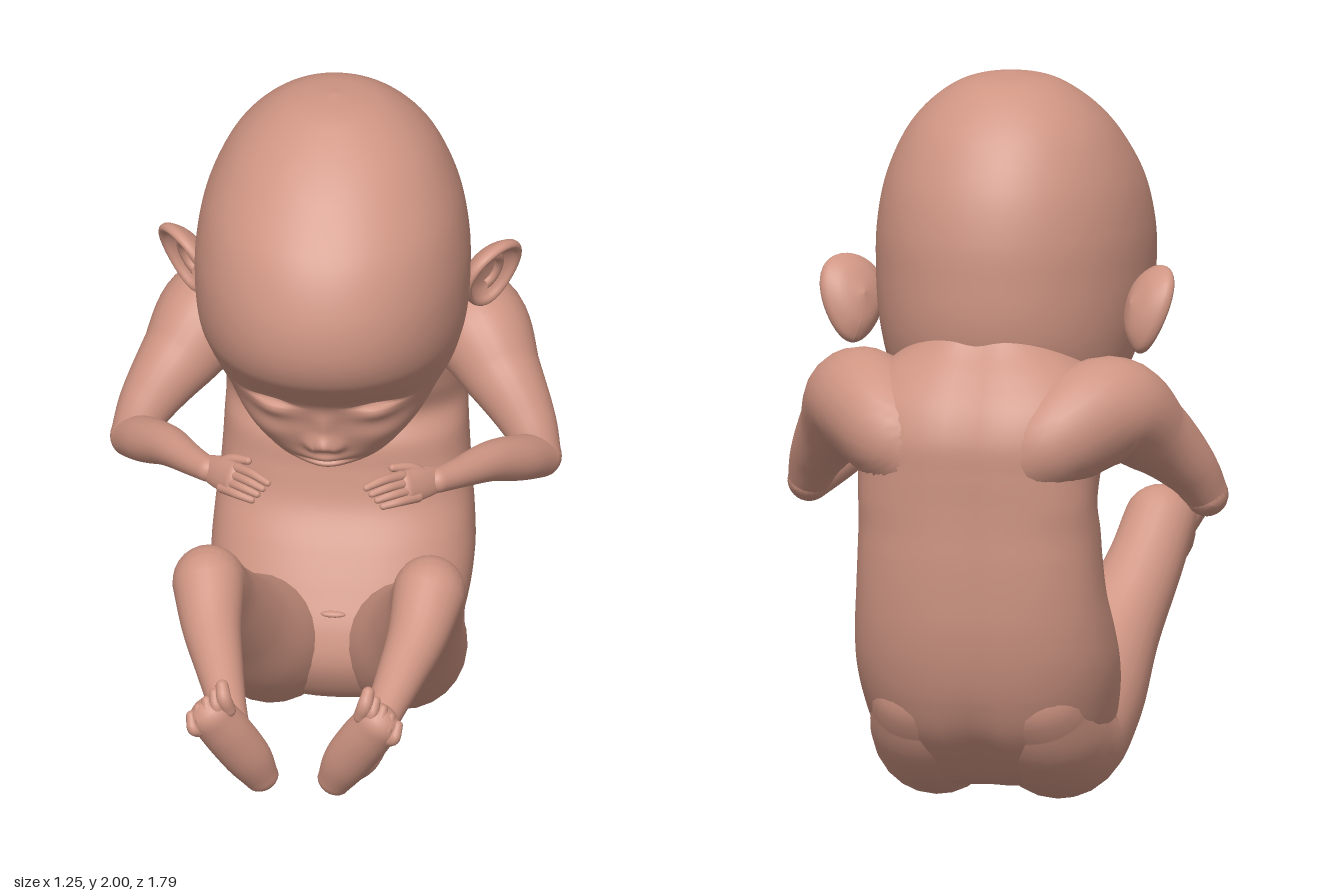
import * as THREE from 'three';

const skin = new THREE.MeshStandardMaterial({ color: 0xcf9583 });
skin.name = 'warm skin';

// Closed smooth surface through rings of equal point count
function skinRings(name, rings) {
  const n = rings[0].length, index = [];
  for (let i = 0; i < rings.length - 1; i++) {
    for (let j = 0; j < n; j++) {
      const a = i * n + j, b = i * n + (j + 1) % n;
      index.push(a, b, a + n, b, b + n, a + n);
    }
  }
  const geo = new THREE.BufferGeometry().setFromPoints(rings.flat());
  geo.setIndex(index);
  geo.computeVertexNormals();
  const mesh = new THREE.Mesh(geo, skin);
  mesh.name = name;
  return mesh;
}

const spline = pts => new THREE.CatmullRomCurve3(pts, false, 'catmullrom', 0.5);
const V = (x, y, z) => new THREE.Vector3(x, y, z);

// Round-ended limb through [x, y, z, radius]; axis is its width direction
function limb(name, side, pts, { axis = [1, 0, 0], flat = 1, steps = 8, n = 24 } = {}) {
  const path = spline(pts.map(p => V(p[0] * side, p[1], p[2])));
  const radius = spline(pts.map(p => V(p[3], 0, 0)));
  const wide = V(axis[0] * side, axis[1], axis[2]);
  const rings = [];
  const ring = (t, shift, scale) => {
    const r = radius.getPoint(t).x, T = path.getTangent(t);
    const A = wide.clone().addScaledVector(T, -wide.dot(T)).normalize();
    const B = T.clone().cross(A);
    const c = path.getPoint(t).addScaledVector(T, shift * r * flat);
    rings.push(Array.from({ length: n }, (_, j) => {
      const a = j / n * Math.PI * 2;
      return c.clone().addScaledVector(A, r * scale * Math.cos(a))
        .addScaledVector(B, r * scale * flat * Math.sin(a));
    }));
  };
  const cap = 6, count = (pts.length - 1) * steps;
  for (let k = 0; k < cap; k++) {
    const a = k / cap * Math.PI / 2;
    ring(0, -Math.cos(a), Math.max(Math.sin(a), 0.01));
  }
  for (let i = 0; i <= count; i++) ring(i / count, 0, 1);
  for (let k = cap - 1; k >= 0; k--) {
    const a = k / cap * Math.PI / 2;
    ring(1, Math.cos(a), Math.max(Math.sin(a), 0.01));
  }
  return skinRings(name, rings);
}

// Stack of horizontal sections [y, back z, front z, half width], bottom to top
function stack(name, sections, { power = 2, steps = 8, n = 64, tweak }) {
  const depth = spline(sections.map(s => V(s[1], s[0], s[2])));
  const width = spline(sections.map(s => V(s[3], 0, 0)));
  const count = (sections.length - 1) * steps, rings = [];
  const round = v => Math.sign(v) * Math.abs(v) ** (2 / power);
  for (let i = 0; i <= count; i++) {
    const d = depth.getPoint(i / count), w = width.getPoint(i / count).x;
    rings.push(Array.from({ length: n }, (_, j) => {
      const a = j / n * Math.PI * 2, s = Math.sin(a);
      const p = V(w * round(Math.cos(a)), d.y, (d.x + d.z) / 2 - (d.z - d.x) / 2 * round(s));
      tweak(p, s);
      return p;
    }));
  }
  return skinRings(name, rings);
}

const bell = (d, s) => Math.exp(-((d / s) ** 2));

// Facial relief: [x, y, height, spread x, spread y], mirrored when x > 0
const face = [
  [0, 1.06, 0.042, 0.032, 0.028], [0, 1.12, 0.02, 0.028, 0.05], [0.035, 1.045, 0.022, 0.018, 0.02],
  [0.13, 1.205, -0.014, 0.07, 0.035], [0.15, 1.16, 0.02, 0.055, 0.03], [0.15, 1.188, -0.022, 0.055, 0.007],
  [0.17, 1.07, 0.018, 0.07, 0.05], [0, 0.998, 0.022, 0.06, 0.018], [0, 0.973, -0.018, 0.08, 0.007],
  [0, 0.95, 0.018, 0.06, 0.016], [0, 0.92, 0.01, 0.05, 0.02],
];

function makeHead() {
  return stack('head', [
    [0.89, -0.29, -0.29, 0], [0.905, -0.4, -0.19, 0.09], [0.95, -0.48, -0.09, 0.16],
    [1.0, -0.55, -0.045, 0.21], [1.07, -0.6, -0.018, 0.262], [1.14, -0.65, 0.0, 0.3],
    [1.2, -0.69, 0.03, 0.332], [1.27, -0.72, 0.1, 0.353], [1.35, -0.735, 0.172, 0.37],
    [1.45, -0.738, 0.204, 0.378], [1.57, -0.732, 0.192, 0.376], [1.7, -0.7, 0.132, 0.352],
    [1.82, -0.64, 0.022, 0.3], [1.9, -0.575, -0.072, 0.24], [1.96, -0.5, -0.165, 0.165],
    [1.988, -0.43, -0.23, 0.095], [2.0, -0.325, -0.325, 0],
  ], {
    steps: 10, n: 112, power: 2.08,
    tweak(p, s) {
      if (s >= 0) return;
      let z = 0;
      for (const [x, y, h, sx, sy] of face) {
        z += h * bell((x ? Math.abs(p.x) : p.x) - x, sx) * bell(p.y - y, sy);
      }
      p.z += z * Math.min(1, -s * 1.5);
    },
  });
}

function makeTorso() {
  return stack('torso', [
    [0.04, -0.47, -0.47, 0], [0.05, -0.6, -0.35, 0.17], [0.1, -0.69, -0.28, 0.265],
    [0.2, -0.782, -0.235, 0.325], [0.3, -0.832, -0.25, 0.352], [0.4, -0.862, -0.3, 0.363],
    [0.5, -0.88, -0.36, 0.358], [0.6, -0.888, -0.425, 0.347], [0.7, -0.892, -0.452, 0.34],
    [0.78, -0.892, -0.465, 0.336], [0.86, -0.893, -0.5, 0.333], [0.95, -0.896, -0.46, 0.338],
    [1.04, -0.894, -0.43, 0.35], [1.13, -0.862, -0.4, 0.348], [1.21, -0.805, -0.4, 0.295],
    [1.28, -0.745, -0.42, 0.21], [1.36, -0.69, -0.46, 0.13],
  ], {
    power: 2.35,
    tweak(p, s) {
      // Spine furrow and the cleft below it
      if (s > 0) p.z += (0.012 + 0.02 * bell(p.y - 0.12, 0.12)) * bell(p.x, 0.05) * s;
    },
  });
}

// Dished ear, broader at the top, with a rolled rim and an inner fold
function makeEar(side) {
  const ear = new THREE.Group();
  ear.name = side > 0 ? 'leftEar' : 'rightEar';
  const profile = [[0, -0.6], [0.6, -0.42], [0.93, -0.14], [1, 0.06], [0.94, 0.18], [0.83, 0.14],
    [0.74, -0.02], [0.5, -0.2], [0, -0.28]];
  const curve = new THREE.SplineCurve(profile.map(p => new THREE.Vector2(...p)));
  const pts = curve.getPoints(32).map(p => p.setX(Math.max(0, p.x)));
  const geo = new THREE.LatheGeometry(pts, 40).rotateX(Math.PI / 2).scale(0.1, 0.128, 0.1);
  const pos = geo.attributes.position;
  for (let i = 0; i < pos.count; i++) pos.setX(i, pos.getX(i) * (1 + 2 * pos.getY(i)));
  geo.computeVertexNormals();
  const shell = new THREE.Mesh(geo, skin);
  shell.name = 'earShell';
  const arc = new THREE.TorusGeometry(0.05, 0.013, 10, 24, 3.6).rotateZ(side > 0 ? -1.6 : 1.14);
  const fold = new THREE.Mesh(arc.scale(0.95, 1.35, 1), skin);
  fold.name = 'earFold';
  fold.position.set(0, -0.005, -0.016);
  ear.add(shell, fold);
  ear.position.set(0.42 * side, 1.37, -0.445);
  ear.rotation.set(0.38, 0.9 * side, 0.28 * side, 'YXZ');
  return ear;
}

function makeArm(side) {
  const arm = new THREE.Group();
  arm.name = side > 0 ? 'leftArm' : 'rightArm';
  arm.add(limb('upperArm', side, [[0.12, 0.93, -0.77, 0.095], [0.225, 1.035, -0.742, 0.137], [0.355, 1.11, -0.61, 0.15],
    [0.45, 1.025, -0.49, 0.11], [0.525, 0.93, -0.41, 0.08], [0.565, 0.848, -0.36, 0.06]], { axis: [0.6, 0.8, 0.1] }));
  arm.add(limb('forearm', side, [[0.565, 0.845, -0.36, 0.06], [0.515, 0.89, -0.27, 0.064],
    [0.445, 0.94, -0.16, 0.056], [0.37, 0.97, -0.04, 0.042], [0.318, 0.985, 0.03, 0.035]], { axis: [0, 1, 0] }));
  arm.add(limb('palm', side, [[0.322, 0.985, 0.02, 0.035], [0.28, 1.0, 0.07, 0.046],
    [0.24, 1.013, 0.12, 0.046]], { axis: [0.4, -0.85, 0.1], flat: 0.5 }));
  for (let i = 0; i < 4; i++) {
    const x = 0.015 * i, y = -0.022 * i;
    arm.add(limb('finger', side, [[0.226 + x, 1.045 + y, 0.115, 0.015],
      [0.182 + x, 1.058 + y, 0.165, 0.013], [0.137 + x, 1.052 + y, 0.2 - x / 3, 0.01]], { axis: [0, 1, 0], n: 12, steps: 5 }));
  }
  arm.add(limb('thumb', side, [[0.295, 1.005, 0.05, 0.018], [0.25, 1.045, 0.07, 0.015],
    [0.2, 1.06, 0.1, 0.011]], { axis: [0, 0, 1], n: 12, steps: 5 }));
  return arm;
}

function makeLeg(side) {
  const leg = new THREE.Group();
  leg.name = side > 0 ? 'leftLeg' : 'rightLeg';
  // The thigh begins inside the seat so that hip and buttock run smoothly into it
  leg.add(limb('thigh', side, [[0.16, 0.3, -0.645, 0.155], [0.165, 0.213, -0.562, 0.17], [0.177, 0.176, -0.43, 0.174],
    [0.205, 0.275, -0.29, 0.166], [0.245, 0.42, -0.13, 0.127],
    [0.285, 0.57, 0.02, 0.107], [0.305, 0.69, 0.135, 0.1]]));
  leg.add(limb('shin', side, [[0.305, 0.69, 0.145, 0.1], [0.285, 0.628, 0.27, 0.083], [0.252, 0.58, 0.4, 0.067],
    [0.21, 0.527, 0.56, 0.051], [0.175, 0.485, 0.68, 0.05], [0.14, 0.485, 0.742, 0.052]]));
  leg.add(limb('foot', side, [[0.1, 0.443, 0.757, 0.048], [0.135, 0.52, 0.785, 0.065], [0.185, 0.61, 0.817, 0.069],
    [0.23, 0.685, 0.842, 0.066]], { axis: [0.85, -0.4, 0.25], flat: 0.82 }));
  for (let i = 0; i < 5; i++) {
    const r = i ? 0.0165 : 0.021, x = 0.021 * i, y = -0.022 * i, z = 0.005 * i;
    leg.add(limb('toe', side, [[0.183 + x, 0.71 + y * 0.7, 0.852 + z, r], [0.195 + x, 0.75 + y, 0.86 + z, r],
      [0.202 + x, 0.777 + y, 0.838 + z, r * 0.85]], { n: 12, steps: 5 }));
  }
  return leg;
}

export function createModel() {
  const model = new THREE.Group();
  model.name = 'curledInfant';
  model.add(makeHead(), makeTorso());
  for (const side of [1, -1]) model.add(makeEar(side), makeArm(side), makeLeg(side));
  // Small navel fold
  const navel = new THREE.Mesh(new THREE.SphereGeometry(1, 20, 12).scale(0.035, 0.009, 0.012), skin);
  navel.name = 'navel';
  navel.position.set(0, 0.355, -0.275);
  model.add(navel);
  return model;
}
